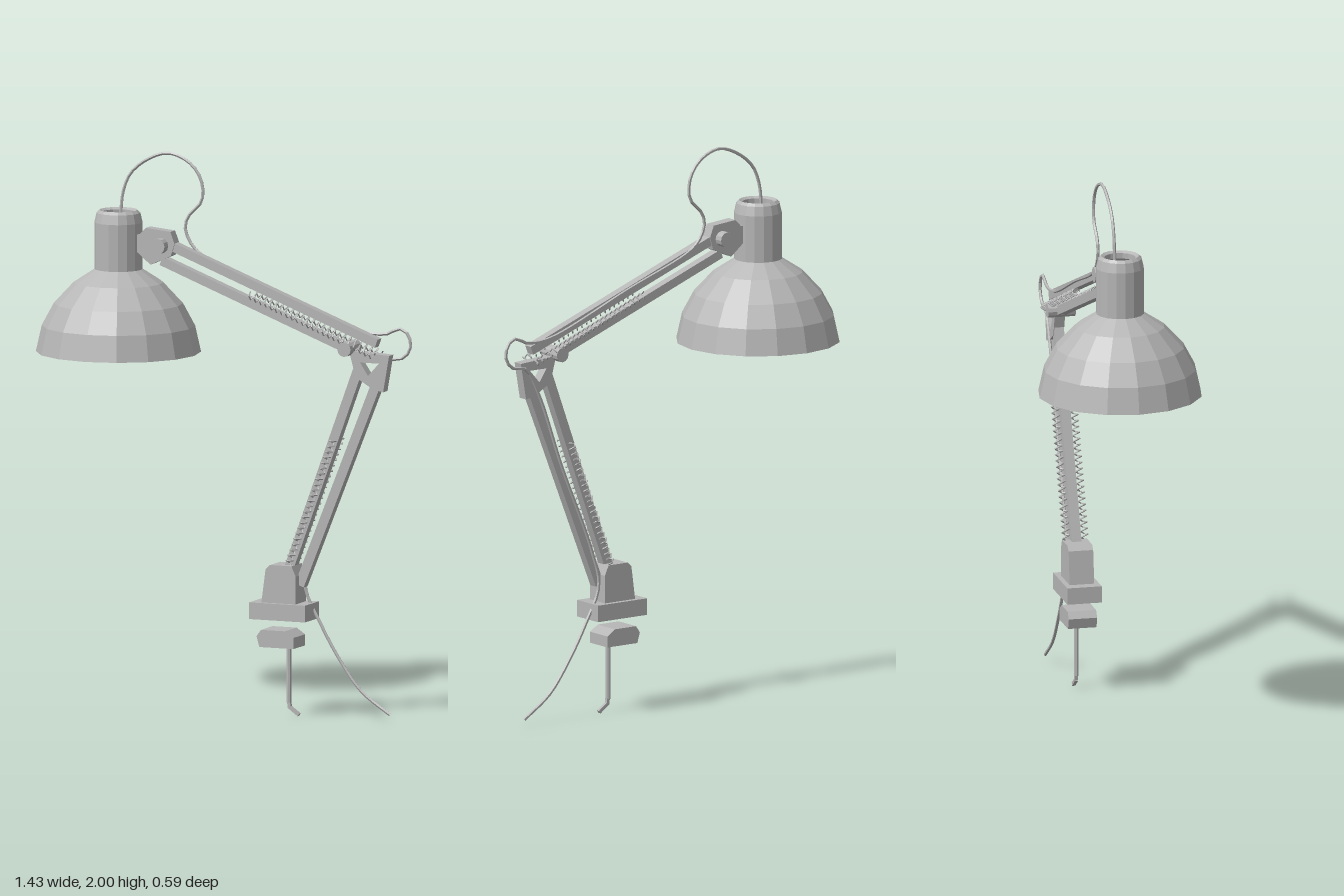
import * as THREE from 'three';

export function createModel() {
  const lamp = new THREE.Group();
  lamp.name = 'deskLamp';
  const grey = new THREE.MeshStandardMaterial({ color: 0xb6b6b6, flatShading: true });
  grey.name = 'grey metal';

  const add = (name, geometry, x = 0, y = 0, z = 0) => {
    const mesh = new THREE.Mesh(geometry, grey);
    mesh.name = name;
    mesh.position.set(x, y, z);
    lamp.add(mesh);
    return mesh;
  };

  // Plate cut from an outline in the xy plane, centred on z = 0
  const plate = (name, points, depth, hole) => {
    const toVectors = (list) => list.map(([x, y]) => new THREE.Vector2(x, y));
    const shape = new THREE.Shape(toVectors(points));
    if (hole) shape.holes.push(new THREE.Path(toVectors(hole)));
    const geometry = new THREE.ExtrudeGeometry(shape, { depth, bevelEnabled: false });
    return add(name, geometry.translate(0, 0, -depth / 2));
  };

  // Straight rectangular bar between two points
  const bar = (name, [x1, y1], [x2, y2], width, depth) => {
    const length = Math.hypot(x2 - x1, y2 - y1);
    const mesh = add(name, new THREE.BoxGeometry(length, width, depth), (x1 + x2) / 2, (y1 + y2) / 2);
    mesh.rotation.z = Math.atan2(y2 - y1, x2 - x1);
  };

  // Round pin across the arm
  const pin = (name, x, y, radius, length) =>
    add(name, new THREE.CylinderGeometry(radius, radius, length, 12).rotateX(Math.PI / 2), x, y);

  const tube = (name, points, z, radius, segments, sides) => {
    const curve = new THREE.CatmullRomCurve3(points.map(([x, y]) => new THREE.Vector3(x, y, z)), false, 'centripetal');
    add(name, new THREE.TubeGeometry(curve, segments, radius, sides, false));
  };

  // Coil spring between two points, one on each side of the arm
  const springPair = (name, from, to, coils) => {
    for (const z of [-0.034, 0.034]) {
      const start = new THREE.Vector3(...from, z);
      const end = new THREE.Vector3(...to, z);
      const axis = end.clone().sub(start).normalize();
      const across = new THREE.Vector3(-axis.y, axis.x, 0);
      const curve = new THREE.Curve();
      curve.getPoint = (t, target = new THREE.Vector3()) => {
        const a = t * coils * Math.PI * 2;
        target.copy(start).lerp(end, t).addScaledVector(across, 0.013 * Math.cos(a));
        target.z += 0.013 * Math.sin(a);
        return target;
      };
      curve.arcLengthDivisions = coils * 24;
      add(name, new THREE.TubeGeometry(curve, coils * 4, 0.003, 4, false));
    }
  };

  // Shade and hollow socket: closed wall, open at the top and bottom
  const wall = [
    [0.287, 1.273], [0.294, 1.273], [0.273, 1.367], [0.23, 1.447], [0.16, 1.522], [0.086, 1.57],
    [0.086, 1.738], [0.078, 1.772], [0.068, 1.782], [0.056, 1.775], [0.056, 1.755], [0.072, 1.738],
    [0.072, 1.565], [0.154, 1.514], [0.223, 1.441], [0.265, 1.365], [0.287, 1.273],
  ].map(([r, y]) => new THREE.Vector2(r, y));
  add('shadeAndSocket', new THREE.LatheGeometry(wall, 16), -0.423);

  // Bracket holding the socket
  plate('headBracket', [
    [-0.345, 1.64], [-0.29, 1.595], [-0.21, 1.63], [-0.196, 1.675],
    [-0.212, 1.717], [-0.308, 1.726], [-0.333, 1.7], [-0.345, 1.7],
  ], 0.042);
  pin('headPivot', -0.248, 1.666, 0.028, 0.108);

  // Upper and lower arm, each a pair of parallel bars
  bar('upperArmTopBar', [-0.21, 1.664], [0.587, 1.361], 0.032, 0.034);
  bar('upperArmBottomBar', [-0.25, 1.61], [0.49, 1.328], 0.032, 0.034);
  bar('lowerArmLeftBar', [0.514, 1.26], [0.249, 0.54], 0.036, 0.034);
  bar('lowerArmRightBar', [0.588, 1.22], [0.288, 0.475], 0.036, 0.034);

  // Elbow plate with a triangular opening
  plate('elbowBracket', [
    [0.482, 1.33], [0.508, 1.235], [0.552, 1.21], [0.578, 1.195], [0.615, 1.188], [0.638, 1.32],
  ], 0.038, [[0.525, 1.29], [0.598, 1.29], [0.556, 1.243]]);
  pin('elbowPivot', 0.476, 1.337, 0.026, 0.1);

  springPair('upperSpring', [0.1, 1.51], [0.587, 1.318], 24);
  springPair('lowerSpring', [0.428, 1.01], [0.252, 0.55], 23);

  // Base socket and table clamp
  plate('baseSocket', [
    [0.153, 0.41], [0.169, 0.53], [0.186, 0.546], [0.27, 0.546], [0.286, 0.51], [0.286, 0.41],
  ], 0.09);
  add('clampTop', new THREE.BoxGeometry(0.217, 0.06, 0.126), 0.221, 0.38);
  plate('clampJaw', [
    [0.148, 0.25], [0.137, 0.288], [0.154, 0.312], [0.247, 0.312], [0.28, 0.29], [0.28, 0.25],
  ], 0.104);
  add('clampScrew', new THREE.CylinderGeometry(0.009, 0.009, 0.21, 8), 0.24, 0.155);
  bar('screwNeck', [0.24, 0.06], [0.244, 0.032], 0.012, 0.012);
  bar('screwHandle', [0.24, 0.036], [0.28, 0.007], 0.012, 0.012);

  // Power cable along the back of the arm
  tube('cable', [
    [-0.422, 1.74], [-0.42, 1.8], [-0.412, 1.85], [-0.384, 1.913], [-0.32, 1.966], [-0.235, 1.994],
    [-0.15, 1.96], [-0.108, 1.897], [-0.108, 1.828], [-0.16, 1.77], [-0.172, 1.728], [-0.15, 1.675],
    [-0.108, 1.637], [0.167, 1.53], [0.516, 1.396], [0.616, 1.394], [0.661, 1.415], [0.696, 1.394],
    [0.703, 1.341], [0.668, 1.306], [0.62, 1.3], [0.56, 1.2], [0.46, 0.93], [0.325, 0.6], [0.295, 0.47],
    [0.355, 0.336], [0.434, 0.204], [0.513, 0.103], [0.625, 0.024],
  ], -0.02, 0.006, 120, 5);

  return lamp;
}
